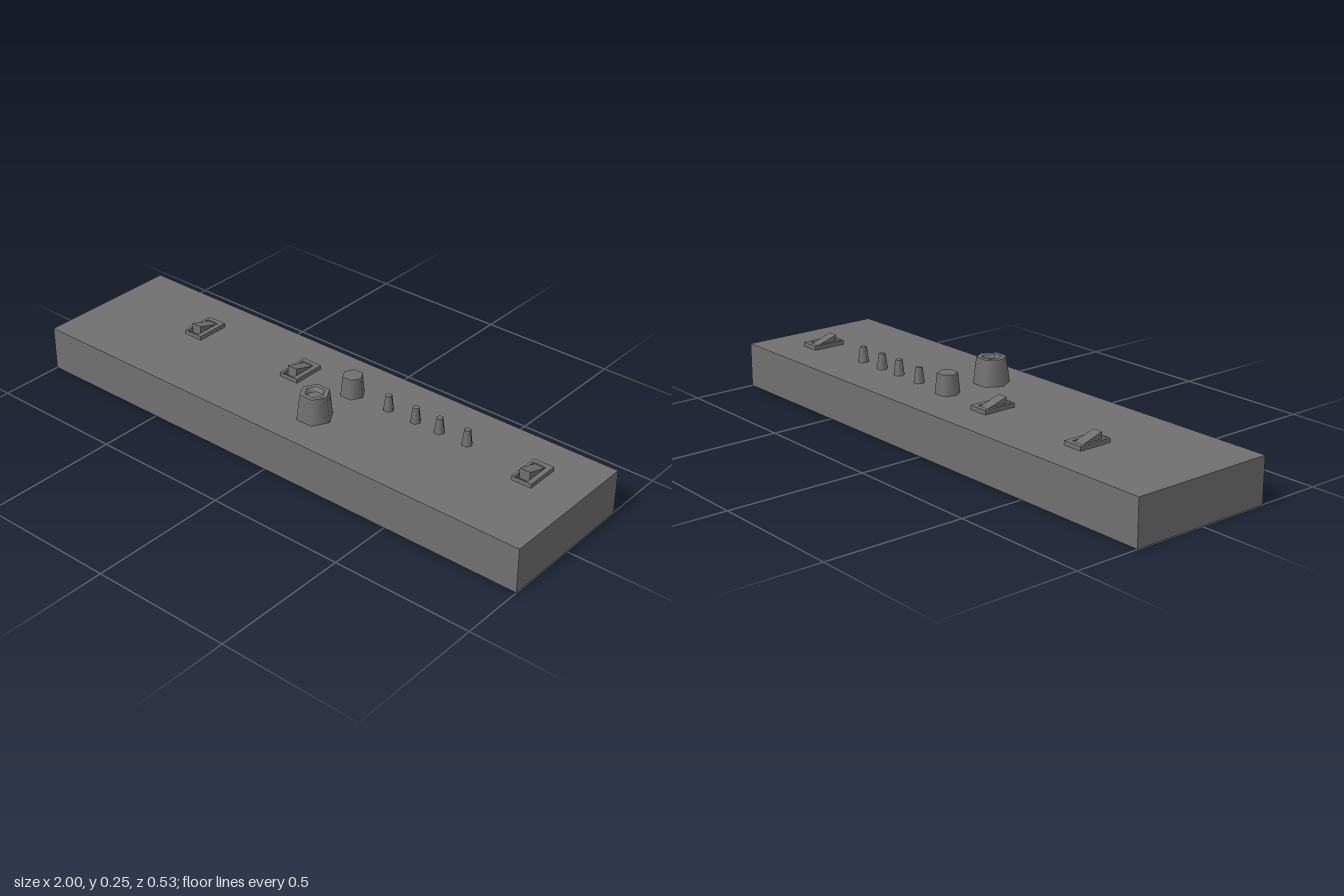
import * as THREE from 'three';

const material = new THREE.MeshStandardMaterial({ color: 0x707070 });
const TOP = 0.16; // height of the panel surface
const ROW_Z = -0.083;

function add(parent, geometry, name, x = 0, y = 0, z = 0) {
  const mesh = new THREE.Mesh(geometry, material);
  mesh.name = name;
  mesh.position.set(x, y, z);
  parent.add(mesh);
  return mesh;
}

// tapered six-sided knob with corners on the x axis
function hexKnob(parent, name, x, z, rTop, rBottom, height) {
  const geometry = new THREE.CylinderGeometry(rTop, rBottom, height, 6, 1, false, Math.PI / 6);
  add(parent, geometry, name, x, TOP + height / 2, z);
}

// hollow-topped hexagonal knob: outer wall, rim, socket wall, socket floor
function socketKnob(x, z) {
  const knob = new THREE.Group();
  knob.name = 'mainKnob';
  const h = 0.092, rim = 0.052, hole = 0.034, floor = 0.027, depth = 0.015;
  const a = Math.PI / 6;
  add(knob, new THREE.CylinderGeometry(rim, 0.063, h, 6, 1, true, a), 'knobWall', 0, h / 2, 0);
  add(knob, new THREE.RingGeometry(hole, rim, 6).rotateX(-Math.PI / 2), 'knobRim', 0, h, 0);
  // inward-facing wall: corners reversed by swapping the last two of each face
  const wall = new THREE.CylinderGeometry(hole, floor, depth, 6, 1, true, a);
  const index = wall.index;
  for (let i = 0; i < index.count; i += 3) {
    const b = index.getX(i + 1);
    index.setX(i + 1, index.getX(i + 2));
    index.setX(i + 2, b);
  }
  wall.computeVertexNormals();
  add(knob, wall, 'socketWall', 0, h - depth / 2, 0);
  add(knob, new THREE.CircleGeometry(floor, 6).rotateX(-Math.PI / 2), 'socketFloor', 0, h - depth, 0);
  knob.position.set(x, TOP, z);
  return knob;
}

function rect(shape, x0, y0, x1, y1) {
  return shape.moveTo(x0, y0).lineTo(x1, y0).lineTo(x1, y1).lineTo(x0, y1).closePath();
}

// rocker switch: flat frame with an opening and a tilted rocker inside
function rockerSwitch(x) {
  const sw = new THREE.Group();
  sw.name = 'rockerSwitch';
  const frame = rect(new THREE.Shape(), -0.037, -0.062, 0.037, 0.062);
  frame.holes.push(rect(new THREE.Path(), -0.027, -0.058, 0.019, 0.044));
  const plate = new THREE.ExtrudeGeometry(frame, { depth: 0.015, bevelEnabled: false });
  add(sw, plate.rotateX(-Math.PI / 2), 'switchFrame');

  // side profile of the rocker, (z, y), raised towards the front
  const profile = new THREE.Shape([
    [0.039, 0.037], [-0.055, 0.007], [-0.055, 0.001], [0.039, 0.001],
  ].map(([z, y]) => new THREE.Vector2(-z, y)));
  const rocker = new THREE.ExtrudeGeometry(profile, { depth: 0.038, bevelEnabled: false });
  rocker.translate(0, 0, -0.019).rotateY(Math.PI / 2);
  add(sw, rocker, 'rocker', -0.004);
  sw.position.set(x, TOP, -0.073);
  return sw;
}

export function createModel() {
  const model = new THREE.Group();
  model.name = 'controlPanel';

  // slab body
  add(model, new THREE.BoxGeometry(2, TOP, 0.533), 'body', 0, TOP / 2, 0);

  // knobs
  model.add(socketKnob(0.079, 0.105));
  hexKnob(model, 'smallKnob', 0.083, ROW_Z, 0.036, 0.043, 0.072);

  // row of slim toggles
  for (const x of [0.236, 0.348, 0.444, 0.554]) {
    hexKnob(model, 'toggle', x, ROW_Z, 0.012, 0.019, 0.055);
  }

  // rocker switches
  for (const x of [-0.583, -0.137, 0.812]) model.add(rockerSwitch(x));

  return model;
}
